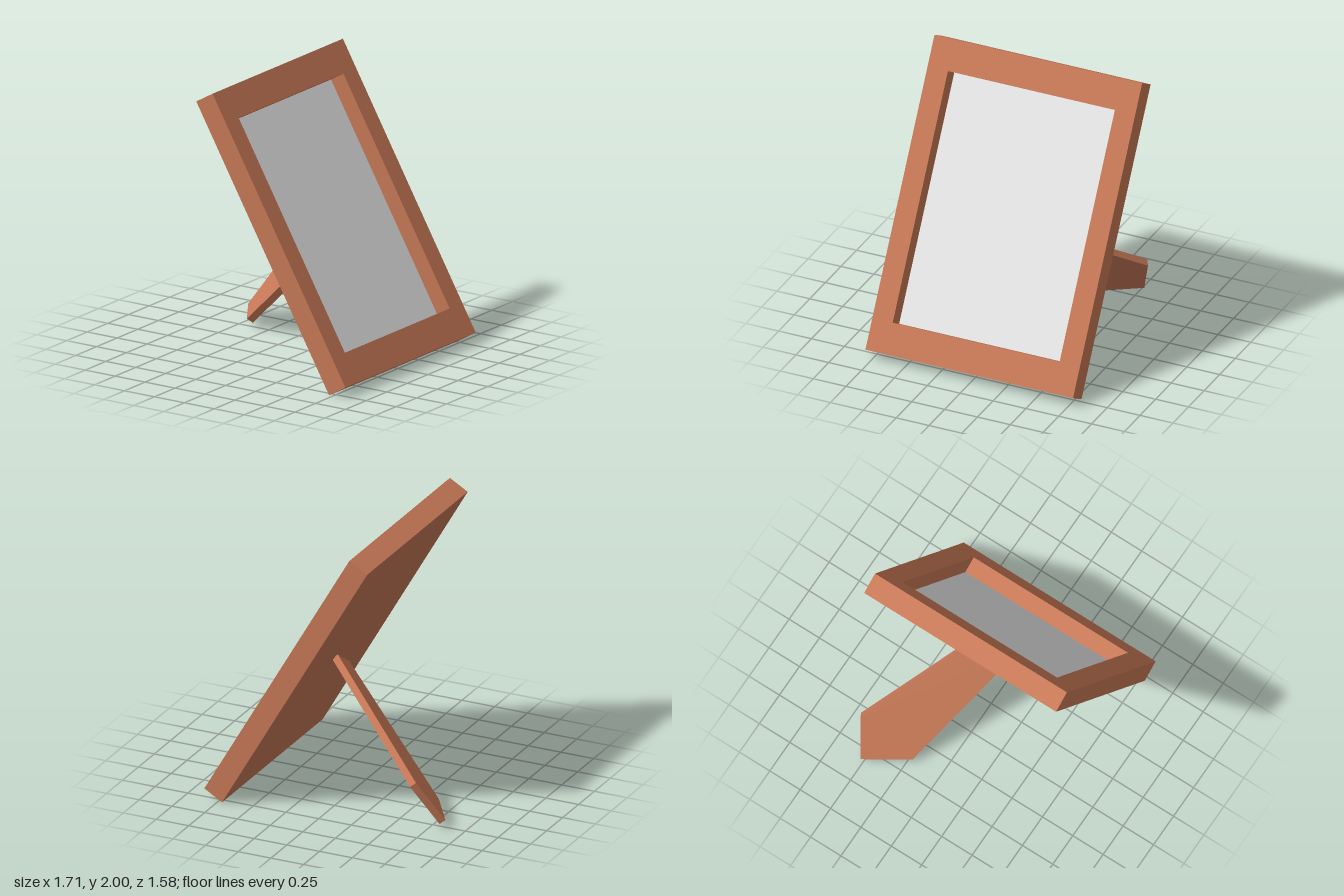
import * as THREE from 'three';

const WIDTH = 1.58, HEIGHT = 2.218, DEPTH = 0.157;   // frame slab
const OPEN_W = 1.27, OPEN_H = 1.773, RECESS = 0.12;  // picture opening

// Flat plate: a planar outline (counter-clockwise seen from its top) thickened by an offset
function plate(outline, offset) {
  const top = outline.map(p => new THREE.Vector3(...p));
  const bottom = top.map(p => p.clone().add(offset));
  const pos = [];
  const tri = (...v) => v.forEach(p => pos.push(p.x, p.y, p.z));
  const n = top.length;
  for (let i = 0; i < n; i++) {
    const j = (i + 1) % n;
    if (i > 0 && j > 0) {
      tri(top[0], top[i], top[j]);
      tri(bottom[0], bottom[j], bottom[i]);
    }
    tri(top[i], bottom[i], bottom[j]);
    tri(top[i], bottom[j], top[j]);
  }
  const g = new THREE.BufferGeometry();
  g.setAttribute('position', new THREE.Float32BufferAttribute(pos, 3));
  g.computeVertexNormals();
  return g;
}

function rectPoints(w, h) {
  return [[-w, -h], [w, -h], [w, h], [-w, h]].map(([x, y]) => new THREE.Vector2(x / 2, y / 2));
}

export function createModel() {
  const wood = new THREE.MeshStandardMaterial({ color: 0xc87957 });
  wood.name = 'wood';
  const paper = new THREE.MeshStandardMaterial({ color: 0xeeeeee });
  paper.name = 'paper';

  const model = new THREE.Group();
  model.name = 'pictureFrame';
  const add = (parent, name, geometry, material, z = 0) => {
    const mesh = new THREE.Mesh(geometry, material);
    mesh.name = name;
    mesh.position.z = z;
    parent.add(mesh);
  };

  // Leaning slab: its own +z is the picture side, turned to +x and tilted back 30 degrees
  const slab = new THREE.Group();
  slab.name = 'leaningFrame';
  slab.rotation.set(0, Math.PI / 2, Math.PI / 6, 'ZYX');
  slab.position.set(0.2325, 1, 0);
  model.add(slab);

  // Border with the opening cut through
  const border = new THREE.Shape(rectPoints(WIDTH, HEIGHT));
  border.holes.push(new THREE.Path(rectPoints(OPEN_W, OPEN_H).reverse()));
  add(slab, 'border', new THREE.ExtrudeGeometry(border, { depth: DEPTH, bevelEnabled: false }), wood, -DEPTH / 2);

  // Backing closes the opening flush with the back
  const back = DEPTH - RECESS - 0.004;
  add(slab, 'backing', new THREE.BoxGeometry(OPEN_W, OPEN_H, back), wood, -DEPTH / 2 + back / 2);

  // Blank picture at the bottom of the recess
  add(slab, 'picture', new THREE.BoxGeometry(OPEN_W, OPEN_H, 0.004), paper, DEPTH / 2 - RECESS - 0.002);

  // Five-sided prop leg, slanting out behind the slab
  const outline = [
    [-0.683, 0.351, -0.625],
    [-0.855, 0.062, -0.515],
    [-0.659, 0.062, -0.214],
    [0.184, 0.806, 0.112],
    [0.168, 0.947, -0.105],
  ];
  add(model, 'propLeg', plate(outline, new THREE.Vector3(0.034, -0.029, -0.022)), wood);

  return model;
}
